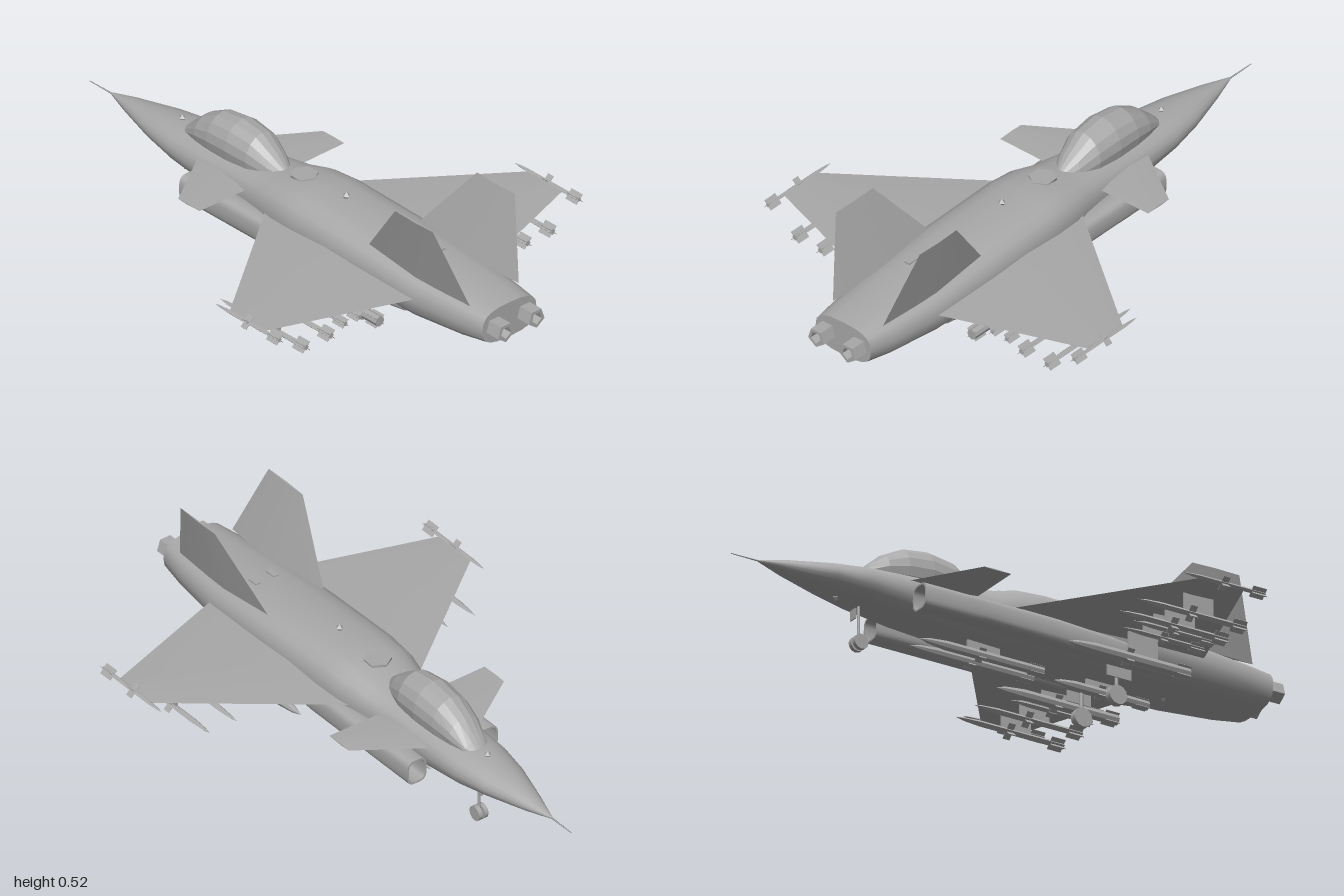
import * as THREE from 'three';
import { toCreasedNormals } from 'three/addons/utils/BufferGeometryUtils.js';

const grey = new THREE.MeshStandardMaterial({ color: 0xa8a8a8, side: THREE.DoubleSide });
grey.name = 'airframe grey';

// Skin a row of rings (arrays of [x, y, z]) and cap both ends
function loft(rings, crease = 0.6) {
  const n = rings[0].length, pos = [];
  const tri = (...p) => p.forEach(v => pos.push(...v));
  for (let i = 0; i < rings.length - 1; i++) {
    for (let j = 0; j < n; j++) {
      const k = (j + 1) % n, a = rings[i], b = rings[i + 1];
      tri(a[j], a[k], b[k]);
      tri(a[j], b[k], b[j]);
    }
  }
  const first = rings[0], last = rings[rings.length - 1];
  for (let j = 1; j < n - 1; j++) {
    tri(first[0], first[j + 1], first[j]);
    tri(last[0], last[j], last[j + 1]);
  }
  const g = new THREE.BufferGeometry();
  g.setAttribute('position', new THREE.Float32BufferAttribute(pos, 3));
  return toCreasedNormals(g, crease);
}

// Superellipse ring across the body: z, half width, bottom, top, squareness, centre x
function section([z, w, y0, y1, e = 1, cx = 0], sides = 20) {
  const bend = v => Math.sign(v) * Math.abs(v) ** e;
  return Array.from({ length: sides }, (_, i) => {
    const a = (i / sides) * Math.PI * 2;
    return [cx + w * bend(Math.cos(a)), (y0 + y1) / 2 + (y1 - y0) / 2 * bend(Math.sin(a)), z];
  });
}

// Thin diamond aerofoil lying flat at span x
const flatFoil = (x, y, z0, z1, t) => {
  const m = z0 + (z1 - z0) * 0.4;
  return [[x, y + t, m], [x, y, z1], [x, y - t, m], [x, y, z0]];
};

// Thin diamond aerofoil for an upright fin at height y
const finFoil = (x, y, z0, z1, t) => {
  const m = (z0 + z1) / 2;
  return [[x, y, z1], [x + t, y, m], [x, y, z0], [x - t, y, m]];
};

export function createModel() {
  const model = new THREE.Group();
  model.name = 'fighterJet';
  const add = (name, geo, x = 0, y = 0, z = 0, parent = model) => {
    const m = new THREE.Mesh(geo, grey);
    m.name = name;
    m.position.set(x, y, z);
    parent.add(m);
    return m;
  };
  const box = (w, h, d) => new THREE.BoxGeometry(w, h, d);
  const wheel = (r, w) => new THREE.CylinderGeometry(r, r, w, 12).rotateZ(Math.PI / 2);

  // Fuselage from nose to tail
  add('fuselage', loft([
    [-0.9, 0.003, 0.212, 0.218], [-0.8, 0.036, 0.19, 0.239], [-0.65, 0.08, 0.168, 0.261],
    [-0.53, 0.1, 0.152, 0.272, 0.9], [-0.38, 0.107, 0.135, 0.28, 0.85], [-0.2, 0.112, 0.125, 0.288, 0.8],
    [-0.08, 0.13, 0.122, 0.3, 0.78], [0.0, 0.148, 0.12, 0.317, 0.75], [0.1, 0.156, 0.12, 0.322, 0.75],
    [0.4, 0.158, 0.12, 0.312, 0.75], [0.65, 0.152, 0.124, 0.292, 0.72], [0.85, 0.13, 0.138, 0.28, 0.7],
    [0.945, 0.114, 0.15, 0.274, 0.7],
  ].map(s => section(s))));
  const pitot = new THREE.CylinderGeometry(0.0015, 0.003, 0.11, 6).rotateX(-Math.PI / 2);
  add('pitotTube', pitot, 0, 0.215, -0.945);

  // Faceted canopy
  add('canopy', loft([
    [-0.53, 0.025, 0.25, 0.272], [-0.51, 0.045, 0.24, 0.292], [-0.45, 0.063, 0.23, 0.345],
    [-0.38, 0.074, 0.22, 0.382], [-0.29, 0.079, 0.22, 0.394], [-0.2, 0.072, 0.22, 0.382],
    [-0.13, 0.05, 0.23, 0.335], [-0.08, 0.02, 0.25, 0.292],
  ].map(s => section(s, 16)), 0));

  // Pentagonal hollow exhaust, reused both sides
  const nozzle = toCreasedNormals(new THREE.LatheGeometry([
    [0.034, 0], [0.034, 0.07], [0.022, 0.07], [0.02, 0.02], [0, 0.02],
  ].map(p => new THREE.Vector2(...p)), 5).rotateX(Math.PI / 2), 0.3);

  // Hollow intake mouth with rounded corners
  const oval = (T, w, h) => {
    const s = new T();
    s.setFromPoints(section([0, w, -h, h, 0.6], 24).map(p => new THREE.Vector2(p[0], p[1])));
    return s;
  };
  const lip = oval(THREE.Shape, 0.038, 0.044);
  lip.holes.push(oval(THREE.Path, 0.032, 0.038));
  const intake = toCreasedNormals(
    new THREE.ExtrudeGeometry(lip, { depth: 0.22, bevelEnabled: false }), 0.6);

  // Stores: slim faceted body with crossed fins, nose toward -z, tail at local z = 0
  function missile(name, x, y, tail, length, r, span) {
    const g = new THREE.Group();
    g.name = name;
    g.position.set(x, y, tail);
    model.add(g);
    const body = new THREE.LatheGeometry([
      [0, 0], [r, 0], [r, length * 0.78], [r * 0.6, length * 0.92], [0, length],
    ].map(p => new THREE.Vector2(...p)), r > 0.015 ? 8 : 4).rotateX(-Math.PI / 2);
    add('body', toCreasedNormals(body, 0.5), 0, 0, 0, g);
    for (const a of [Math.PI / 4, -Math.PI / 4]) {
      add('tailFin', box(span, 0.002, 0.05), 0, 0, -0.025, g).rotation.z = a;
      add('midFin', box(span * 1.25, 0.002, 0.025), 0, 0, -length * 0.5, g).rotation.z = a;
    }
  }

  for (const s of [1, -1]) {
    const side = s > 0 ? 'left' : 'right';
    const span = rings => loft(s > 0 ? rings : rings.map(r => r.reverse()), 0.3);

    // Flying surfaces
    add(side + 'Wing', span([
      flatFoil(s * 0.1, 0.218, -0.065, 0.675, 0.016),
      flatFoil(s * 0.16, 0.219, -0.02, 0.66, 0.014),
      flatFoil(s * 0.63, 0.226, 0.34, 0.5, 0.004),
    ]));
    add(side + 'Canard', span([
      flatFoil(s * 0.09, 0.238, -0.4, -0.155, 0.008),
      flatFoil(s * 0.305, 0.24, -0.255, -0.155, 0.002),
    ]));
    add(side + 'TailFin', loft([
      finFoil(s * 0.103, 0.27, 0.395, 0.875, 0.012),
      finFoil(s * 0.173, 0.525, 0.605, 0.78, 0.003),
    ], 0.3));

    // Engine ducting
    add(side + 'Nozzle', nozzle, s * 0.065, 0.213, 0.93);
    add(side + 'IntakeMouth', intake, s * 0.14, 0.166, -0.39);
    add(side + 'IntakeDuct', loft([
      [-0.18, 0.038, 0.122, 0.21, 0.6, s * 0.14], [0.11, 0.038, 0.122, 0.21, 0.6, s * 0.14],
      [0.4, 0.028, 0.125, 0.205, 0.6, s * 0.13], [0.6, 0.012, 0.14, 0.2, 0.6, s * 0.12],
    ].map(p => section(p))));

    // Main gear
    add(side + 'MainStrut', new THREE.CylinderGeometry(0.006, 0.006, 0.12, 8), s * 0.1, 0.09, 0.37);
    add(side + 'MainWheel', wheel(0.033, 0.024), s * 0.1, 0.035, 0.37);
    add(side + 'GearDoor', box(0.004, 0.04, 0.09), s * 0.115, 0.11, 0.37);

    // Wing stores on pylons: x, y, tail z, length, radius, fin span
    for (const [x, y, tail, len, r, fin] of [
      [0.205, 0.12, 0.57, 0.45, 0.018, 0.05], [0.29, 0.17, 0.57, 0.3, 0.009, 0.034],
      [0.35, 0.17, 0.57, 0.3, 0.009, 0.034], [0.415, 0.155, 0.575, 0.4, 0.011, 0.044],
      [0.52, 0.155, 0.575, 0.4, 0.011, 0.044],
    ]) {
      missile(side + 'Missile', s * x, y, tail, len, r, fin);
      add(side + 'Pylon', box(0.006, 0.222 - y, 0.11), s * x, (0.222 + y) / 2, 0.4);
    }
    missile(side + 'TipMissile', s * 0.632, 0.227, 0.575, 0.3, 0.008, 0.038);

    // Belly pair
    missile(side + 'BellyStore', s * 0.03, 0.085, 0.14, 0.46, 0.016, 0.04);
    add(side + 'BellyPylon', box(0.006, 0.05, 0.12), s * 0.03, 0.11, -0.08);

    // Nose wheels and spine panels
    add(side + 'NoseWheel', wheel(0.026, 0.014), s * 0.011, 0.027, -0.525);
    add(side + 'SpinePanel', box(0.02, 0.006, 0.04), s * 0.035, 0.298, 0.58);
  }

  // Centre line details
  missile('centreStore', 0, 0.085, 0.55, 0.35, 0.016, 0.04);
  add('centrePylon', box(0.006, 0.05, 0.12), 0, 0.11, 0.38);
  add('noseStrut', new THREE.CylinderGeometry(0.005, 0.005, 0.14, 8), 0, 0.1, -0.525);
  add('noseGearDoor', box(0.03, 0.035, 0.004), 0, 0.12, -0.545);
  add('spinePlate', new THREE.CylinderGeometry(0.045, 0.045, 0.008, 6), 0, 0.316, -0.005);
  add('beacon', new THREE.OctahedronGeometry(0.014), 0, 0.326, 0.19);
  add('noseSensor', new THREE.OctahedronGeometry(0.012), 0, 0.272, -0.57);
  add('chinSensor', new THREE.OctahedronGeometry(0.012), 0, 0.162, -0.61);
  add('tailSensor', new THREE.OctahedronGeometry(0.012), 0, 0.125, 0.61);
  return model;
}
